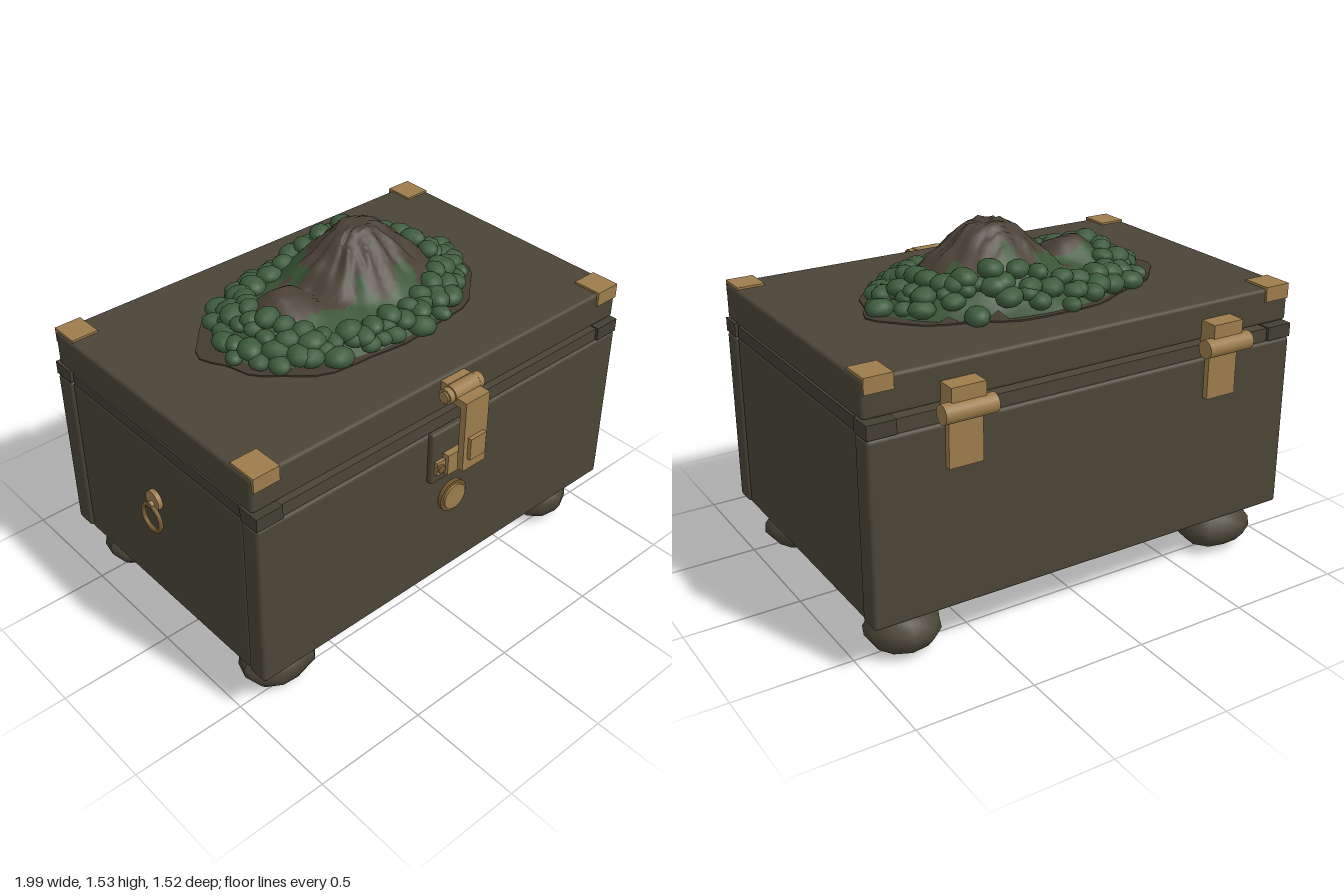
import * as THREE from 'three';
import { RoundedBoxGeometry } from 'three/addons/geometries/RoundedBoxGeometry.js';
import { mergeVertices } from 'three/addons/utils/BufferGeometryUtils.js';

const paint = (name, color) => {
  const m = new THREE.MeshStandardMaterial({ color });
  m.name = name;
  return m;
};

export function createModel() {
  const model = new THREE.Group();
  model.name = 'chest';
  const wood = paint('olive wood', 0x4a4537);
  const rimMat = paint('dark olive rim', 0x423e32);
  const brass = paint('brass', 0x9c7c4c);
  const darkBrass = paint('dark brass', 0x74592f);
  const rock = paint('brown rock', 0x4a3f35);
  const soil = paint('soil', 0x433b30);
  const grass = paint('grass', 0x3a5436);
  const leaf = paint('leaf green', 0x3d5a3c);

  let seed = 7;
  const rand = () => (seed = (seed * 16807) % 2147483647) / 2147483647;

  const CX = 0.01;
  const add = (name, geo, mat, x = 0, y = 0, z = 0, parent = model) => {
    const m = new THREE.Mesh(geo, mat);
    m.name = name;
    m.position.set(x, y, z);
    parent.add(m);
    return m;
  };
  // box given by its limits on each axis
  const box = (name, mat, [x0, x1], [y0, y1], [z0, z1], r = 0) => {
    const s = [x1 - x0, y1 - y0, z1 - z0];
    const geo = r ? new RoundedBoxGeometry(...s, 2, r) : new THREE.BoxGeometry(...s);
    return add(name, geo, mat, (x0 + x1) / 2, (y0 + y1) / 2, (z0 + z1) / 2);
  };
  const rod = (name, mat, r, len, axis, x, y, z, sides = 20) => {
    const g = new THREE.CylinderGeometry(r, r, len, sides);
    if (axis === 'x') g.rotateZ(Math.PI / 2);
    if (axis === 'z') g.rotateX(Math.PI / 2);
    return add(name, g, mat, x, y, z);
  };

  // Box walls and floor
  box('frontWall', wood, [-0.97, 0.99], [0.22, 0.99], [0.535, 0.63], 0.015);
  box('backWall', wood, [-0.97, 0.99], [0.22, 0.99], [-0.68, -0.58], 0.015);
  for (const s of [-1, 1]) {
    const xs = [CX + s * 0.9, CX + s * 0.972].sort((a, b) => a - b);
    box('sideWall', wood, xs, [0.22, 0.99], [-0.58, 0.535], 0.012);
    box('sideRim', rimMat, xs, [0.99, 1.045], [-0.565, 0.52]);
    // corner blocks of the rim
    const cx = [CX + s * 0.86, CX + s * 0.98].sort((a, b) => a - b);
    box('rimCorner', rimMat, cx, [0.992, 1.05], [0.535, 0.63]);
    box('rimCorner', rimMat, cx, [0.992, 1.05], [-0.68, -0.58]);
  }
  box('frontRim', wood, [-0.85, 0.87], [0.985, 1.045], [0.545, 0.618]);
  box('backRim', wood, [-0.85, 0.87], [0.985, 1.045], [-0.668, -0.59]);
  box('base', wood, [-0.89, 0.91], [0.185, 0.24], [-0.58, 0.535], 0.01);

  // Lid with brass corner caps
  box('lid', wood, [-0.97, 0.99], [1.055, 1.21], [-0.65, 0.605], 0.015);
  for (const sx of [-1, 1]) for (const sz of [-1, 1]) {
    const xs = [CX + sx * 0.855, CX + sx * 0.973].sort((a, b) => a - b);
    const edge = sz > 0 ? 0.614 : -0.659;
    const zs = [edge, edge - sz * 0.13].sort((a, b) => a - b);
    const lip = [edge, edge - sz * 0.02].sort((a, b) => a - b);
    box('cornerCapTop', brass, xs, [1.2, 1.219], zs);
    box('cornerCapFace', brass, xs, [1.155, 1.219], lip);
  }

  // Lumpy feet
  for (const x of [-0.765, 0.79]) for (const z of [0.45, -0.51]) {
    const g = new THREE.SphereGeometry(1, 11, 7);
    const p = g.attributes.position;
    for (let i = 0; i < p.count; i++) {
      const [a, b, c] = [p.getX(i), p.getY(i), p.getZ(i)];
      const k = 1 + 0.05 * Math.sin(4 * a + 2 * x) + 0.04 * Math.sin(5 * c + 3 * b + z);
      p.setXYZ(i, a * k * 0.165, b * 0.1, c * k * 0.142);
    }
    g.computeVertexNormals();
    add('foot', g, wood, x, 0.1, z);
  }

  // Front latch
  const lx = 0.013;
  const span = (h) => [lx - h, lx + h];
  box('latchPlate', wood, span(0.145), [0.76, 1.005], [0.625, 0.657], 0.012);
  box('latchBracket', brass, span(0.13), [0.81, 0.872], [0.655, 0.672]);
  box('latchCatch', brass, span(0.085), [0.8, 0.895], [0.655, 0.687]);
  for (const s of [-1, 1]) rod('latchScrew', darkBrass, 0.018, 0.012, 'z', lx + s * 0.112, 0.842, 0.677, 12);
  box('latchStrap', brass, span(0.063), [0.84, 1.15], [0.713, 0.743]);
  box('latchArm', brass, span(0.063), [1.13, 1.165], [0.64, 0.743]);
  box('latchPull', brass, span(0.042), [0.895, 0.995], [0.74, 0.76]);
  rod('latchPin', brass, 0.024, 0.2, 'x', lx, 1.165, 0.656);
  rod('latchBarrel', brass, 0.036, 0.13, 'x', lx, 1.165, 0.656);
  for (const s of [-1, 1]) rod('latchPinCap', brass, 0.033, 0.024, 'x', lx + s * 0.08, 1.165, 0.656);
  box('latchMount', brass, span(0.063), [1.13, 1.2], [0.6, 0.64]);

  // Round stud under the latch
  rod('studRim', darkBrass, 0.072, 0.02, 'z', lx, 0.625, 0.637, 24);
  rod('studFace', brass, 0.058, 0.03, 'z', lx, 0.625, 0.642, 24);

  // Back hinges
  for (const s of [-1, 1]) {
    const hx = CX + s * 0.597;
    const w = [hx - 0.072, hx + 0.072];
    rod('hingeKnuckle', brass, 0.039, 0.22, 'x', hx, 1.045, -0.722);
    box('hingeUpperLeaf', brass, w, [1.05, 1.14], [-0.73, -0.645]);
    box('hingeLowerLeaf', brass, w, [0.815, 1.03], [-0.706, -0.675]);
  }

  // Ring pull on the right side
  rod('ringMount', brass, 0.045, 0.02, 'x', -0.972, 0.725, -0.03);
  const stem = rod('ringStem', brass, 0.015, 0.03, 'x', -0.982, 0.712, -0.03, 12);
  stem.name = 'ringStem';
  const ring = add('pullRing', new THREE.TorusGeometry(0.06, 0.01, 8, 28), darkBrass, -0.99, 0.645, -0.03);
  ring.rotation.y = Math.PI / 2;

  // Island on the lid: height rule with a main peak and a lower hump
  const IX = 0.03, IZ = -0.055, RX = 0.6, RZ = 0.38;
  const cone = (x, z, px, pz, rx, rz, h) => h * Math.max(0, 1 - Math.hypot((x - px) / rx, (z - pz) / rz));
  const height = (x, z) => {
    const r2 = ((x - IX) / RX) ** 2 + ((z - IZ) / RZ) ** 2;
    const dome = 0.125 * Math.max(0, 1 - r2);
    const main = Math.min(0.305, cone(x, z, 0.15, -0.1, 0.44, 0.36, 0.37));
    const hump = Math.min(0.175, cone(x, z, -0.27, -0.05, 0.3, 0.25, 0.2));
    const a = Math.atan2(z + 0.1, x - 0.15);
    const h = Math.max(dome, main * (r2 < 1 ? 1 : 0), hump * (r2 < 1 ? 1 : 0));
    const fold = Math.sin(a * 13 + x * 9) * 0.5 + Math.sin(a * 23 + z * 17) * 0.35 + Math.sin(x * 55) * 0.4;
    return h + 0.07 * fold * h * Math.min(1, Math.hypot(x - 0.15, z + 0.1) * 6) + 0.003;
  };
  const rings = 28, segs = 72, pos = [], rocky = [], grassy = [];
  for (let i = 0; i <= rings; i++) for (let j = 0; j <= segs; j++) {
    const a = (j / segs) * Math.PI * 2, r = i / rings;
    const x = IX + Math.cos(a) * r * RX, z = IZ + Math.sin(a) * r * RZ;
    pos.push(x, 1.21 + height(x, z), z);
  }
  const isRock = (i) => {
    const x = pos[i * 3], z = pos[i * 3 + 2];
    const wobble = 0.16 * Math.sin(x * 31 + z * 12) + 0.1 * Math.sin(z * 47 - x * 9);
    const peak = Math.hypot((x - 0.16) / 0.32, (z + 0.07) / 0.19);
    const hump = Math.hypot((x + 0.2) / 0.2, (z + 0.03) / 0.1);
    return Math.min(peak, hump) + wobble < 1;
  };
  for (let i = 0; i < rings; i++) for (let j = 0; j < segs; j++) {
    const a = i * (segs + 1) + j, b = a + segs + 1;
    (isRock(a) ? rocky : grassy).push(a, b + 1, b, a, a + 1, b + 1);
  }
  const land = new THREE.BufferGeometry();
  land.setAttribute('position', new THREE.Float32BufferAttribute(pos, 3));
  land.setIndex([...rocky, ...grassy]);
  land.addGroup(0, rocky.length, 0);
  land.addGroup(rocky.length, grassy.length, 1);
  land.computeVertexNormals();
  add('mountain', land, [rock, grass]);

  // Thin soil patch with an uneven edge
  const edge = new THREE.Shape();
  for (let j = 0; j < 48; j++) {
    const a = (j / 48) * Math.PI * 2, k = 1 + 0.03 * Math.sin(a * 5) + 0.02 * Math.sin(a * 11);
    edge[j ? 'lineTo' : 'moveTo'](Math.cos(a) * 0.66 * k, Math.sin(a) * 0.4 * k);
  }
  const patch = new THREE.ExtrudeGeometry(edge, { depth: 0.008, bevelEnabled: false });
  patch.rotateX(-Math.PI / 2);
  add('soilPatch', patch, soil, 0.02, 1.208, -0.05);

  // Bushes in a ring around the mountain
  const bushes = new THREE.Group();
  bushes.name = 'bushes';
  model.add(bushes);
  const ico = new THREE.IcosahedronGeometry(1, 1);
  ico.deleteAttribute('normal');
  ico.deleteAttribute('uv');
  const bushGeo = mergeVertices(ico);
  bushGeo.computeVertexNormals();
  for (let i = 0; i < 110; i++) {
    const a = (i / 110) * Math.PI * 2 + rand() * 0.05;
    const r = [0.97, 0.84, 0.9, 0.76][i % 4] + (rand() - 0.5) * 0.08;
    const x = IX + Math.cos(a) * r * RX, z = IZ + Math.sin(a) * r * RZ;
    const s = 0.036 + rand() * 0.018;
    const bush = add('bush', bushGeo, leaf, x, 1.21 + height(x, z) + s * 0.45, z, bushes);
    bush.scale.set(s * 1.2, s * 0.8, s);
    bush.rotation.y = rand() * 6;
  }
  return model;
}
